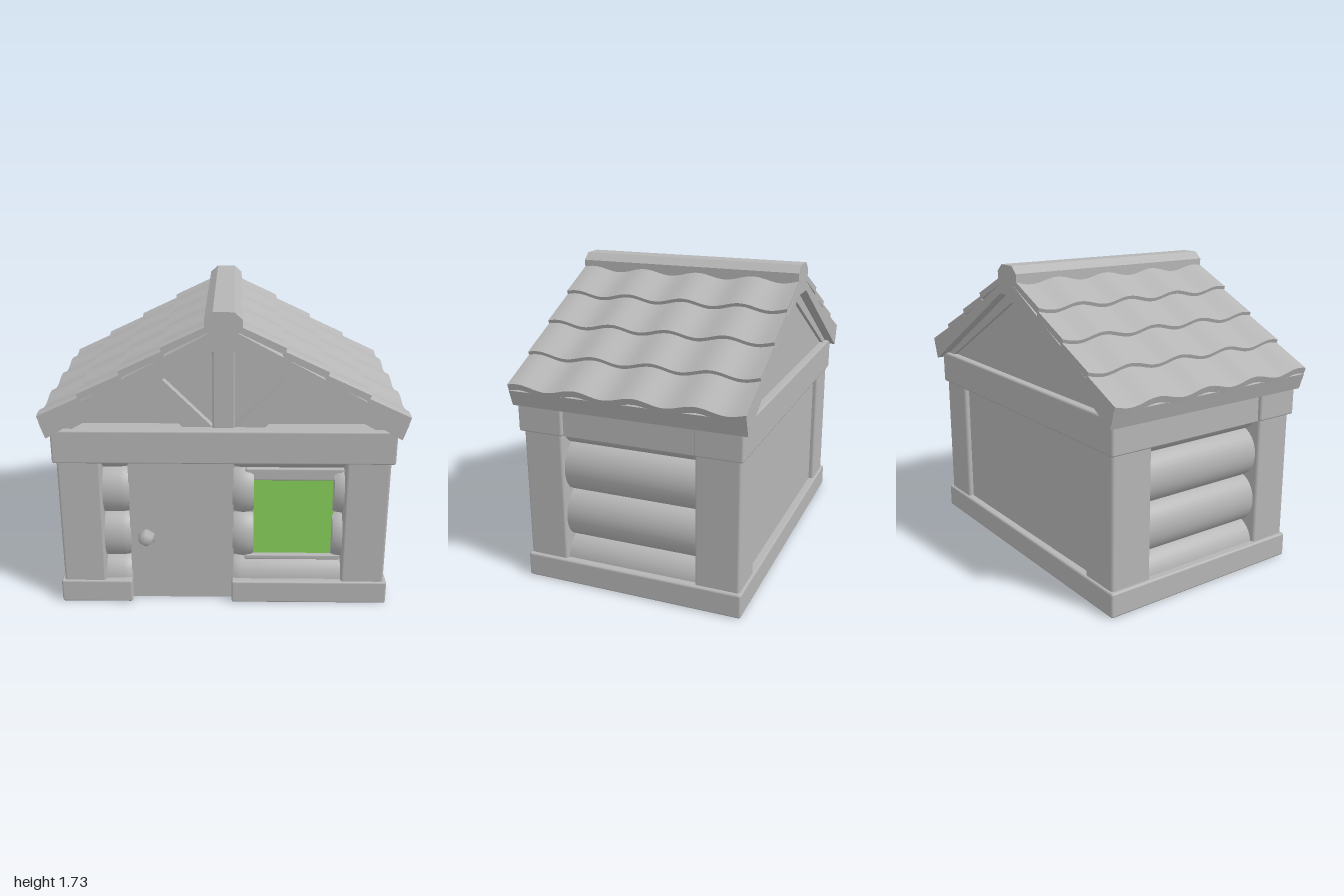
import * as THREE from 'three';
import { toCreasedNormals } from 'three/addons/utils/BufferGeometryUtils.js';
import { RoundedBoxGeometry } from 'three/addons/geometries/RoundedBoxGeometry.js';

export function createModel() {
  const house = new THREE.Group();
  house.name = 'house';
  const grey = new THREE.MeshStandardMaterial({ color: 0xb5b5b5 });
  grey.name = 'plain grey';
  const green = new THREE.MeshStandardMaterial({ color: 0x88d05a });
  green.name = 'window green';

  const add = (name, geometry, material = grey) => {
    const mesh = new THREE.Mesh(geometry, material);
    mesh.name = name;
    house.add(mesh);
    return mesh;
  };
  // Boxes given by their limits on each axis
  const box = (name, x0, x1, y0, y1, z0, z1, round = 0, material = grey) => {
    const size = [x1 - x0, y1 - y0, z1 - z0];
    const geometry = round ? new RoundedBoxGeometry(...size, 1, round) : new THREE.BoxGeometry(...size);
    geometry.translate((x0 + x1) / 2, (y0 + y1) / 2, (z0 + z1) / 2);
    return add(name, geometry, material);
  };
  // Outline in the xy plane, extruded from z0 to z1
  const prism = (name, points, z0, z1) => {
    const shape = new THREE.Shape(points.map(([x, y]) => new THREE.Vector2(x, y)));
    const geometry = new THREE.ExtrudeGeometry(shape, { depth: z1 - z0, bevelEnabled: false });
    return add(name, geometry.translate(0, 0, z0));
  };
  // Right half of an outline completed by its mirror image
  const mirrored = (half) => [...half, ...half.map(([x, y]) => [-x, y]).reverse()];

  // Core: flat back wall, floor and backing of the logs
  box('wallCore', -0.8, 0.8, 0.04, 1.06, -0.59, 0.51);
  box('floor', -0.88, 0.88, 0.03, 0.1, -0.57, 0.56);

  // Plinth, open in front of the door
  box('plinthFrontRight', -0.94, -0.53, 0, 0.14, 0.48, 0.64, 0.012);
  box('plinthFrontLeft', 0.045, 0.94, 0, 0.14, 0.48, 0.64, 0.012);
  box('plinthBack', -0.94, 0.94, 0, 0.14, -0.635, -0.5, 0.012);
  for (const s of [-1, 1]) {
    const [x0, x1] = s > 0 ? [0.78, 0.94] : [-0.94, -0.78];
    box('plinthSide', x0, x1, 0, 0.14, -0.635, 0.64, 0.012);
  }

  // Corner posts and the beams on them
  for (const s of [-1, 1]) {
    const [x0, x1] = s > 0 ? [0.675, 0.92] : [-0.92, -0.68];
    box('frontPost', x0, x1, 0.1, 0.92, 0.4, 0.63, 0.015);
    box('backPost', x0, x1, 0.1, 0.92, -0.62, -0.37, 0.015);
    const [b0, b1] = s > 0 ? [0.7, 0.92] : [-0.92, -0.7];
    box('sideBeam', b0, b1, 0.88, 1.06, -0.42, 0.42);
  }
  box('frontBeam', -0.94, 0.94, 0.88, 1.075, 0.385, 0.65, 0.012);
  box('backBeam', -0.94, 0.94, 0.88, 1.075, -0.635, -0.37, 0.012);

  // Stacked logs: rounded-end lathes flattened to an oval section
  const log = (name, length, depth, y, place) => {
    const r = 0.145;
    const profile = [[0, 0], [r * 0.9, 0], [r * 0.97, 0.02], [r, 0.05], [r, length - 0.05],
      [r * 0.97, length - 0.02], [r * 0.9, length], [0, length]];
    let geometry = new THREE.LatheGeometry(profile.map(([a, b]) => new THREE.Vector2(a, b)), 32);
    geometry.translate(0, -length / 2, 0).rotateZ(Math.PI / 2);
    geometry.scale(1, 1, depth / r);
    place(geometry);
    const p = geometry.attributes.position;
    for (let i = 0; i < p.count; i++) {
      p.setY(i, THREE.MathUtils.clamp(p.getY(i) + y, 0.06, 1.0));
    }
    geometry = toCreasedNormals(geometry, 0.7);
    add(name, geometry);
  };
  for (const y of [0.11, 0.39, 0.67, 0.95]) {
    for (const s of [-1, 1]) {
      log('sideLog', 0.86, 0.12, y, (g) => g.rotateY(Math.PI / 2).translate(s * 0.78, 0, 0.015));
    }
    // Front logs stop on each side of the window
    const outer = y < 0.2 || y > 0.9;
    const spans = outer ? [[-0.73, -0.53], [0.05, 0.73]] : [[-0.73, -0.53], [0.05, 0.17], [0.62, 0.73]];
    for (const [a, b] of spans) {
      log('frontLog', b - a, 0.115, y, (g) => g.translate((a + b) / 2, 0, 0.49));
    }
  }

  // Window with a header and sill
  box('windowPane', 0.17, 0.625, 0.265, 0.738, 0.515, 0.523, 0, green);
  box('windowHeader', 0.12, 0.675, 0.738, 0.815, 0.45, 0.55, 0.012);
  box('windowSill', 0.12, 0.675, 0.235, 0.266, 0.45, 0.55, 0.008);

  // Door and knob
  box('door', -0.535, 0.055, 0, 0.9, 0.45, 0.58);
  const knob = add('doorKnob', new THREE.SphereGeometry(0.052, 6, 4));
  knob.rotation.set(Math.PI / 2, Math.PI / 6, 0);
  knob.position.set(-0.44, 0.41, 0.615);

  // Gable walls, rafters and front braces
  const gable = mirrored([[0.92, 1.03], [0.04, 1.58]]);
  prism('frontGable', gable, 0.45, 0.53);
  prism('backGable', gable, -0.59, -0.5);
  const rafters = mirrored([[0.83, 1.07], [0.96, 1.07], [0.08, 1.6]]).slice(0, 6);
  rafters.push([-0.055, 1.51], [0.055, 1.51]);
  prism('frontRafters', rafters, 0.5, 0.62);
  prism('backRafters', rafters, -0.61, -0.5);
  box('kingPost', -0.06, 0.06, 1.06, 1.52, 0.5, 0.6, 0.01);
  for (const s of [-1, 1]) {
    const brace = [[0.22, 1.07], [0.06, 1.075], [0.33, 1.345], [0.44, 1.285]];
    prism('diagonalBrace', brace.map(([x, y]) => [s * x, y]), 0.5, 0.585);
  }

  // Roof body and ridge cap
  const end = 0.664;
  const body = [[0, 1.66], [0.99, 1.125], [0.96, 1.035], [0.93, 1.05], [0.08, 1.565], [0, 1.565]];
  for (const s of [-1, 1]) prism('roofSlab', body.map(([x, y]) => [s * x, y]), -end, end);
  prism('ridgeCap', mirrored([[0.1, 1.62], [0.1, 1.69], [0.055, 1.73]]), -end, end);

  // Four overlapping rows of wavy tiles on each slope
  const edges = [[1.0, 1.155], [0.78, 1.28], [0.555, 1.407], [0.33, 1.535], [0.09, 1.67]];
  const wave = (z) => 0.014 * Math.cos(((z - 0.27) / 0.335) * Math.PI * 2);
  for (const s of [-1, 1]) {
    for (let row = 0; row < 4; row++) {
      const [xl, yl] = edges[row];
      const [xu, yu] = edges[row + 1];
      const outline = [[xl, yl], [xu - 0.02, yu - 0.013], [xu - 0.02, yu - 0.05], [xl - 0.012, yl - 0.035]];
      const shape = new THREE.Shape(outline.map(([x, y]) => new THREE.Vector2(s * x, y)));
      let geometry = new THREE.ExtrudeGeometry(shape, { depth: 2 * end, steps: 56, bevelEnabled: false });
      geometry.translate(0, 0, -end);
      const p = geometry.attributes.position;
      for (let i = 0; i < p.count; i++) p.setY(i, p.getY(i) + wave(p.getZ(i)));
      geometry = toCreasedNormals(geometry, 0.6);
      add('tileRow', geometry);
    }
  }
  return house;
}
